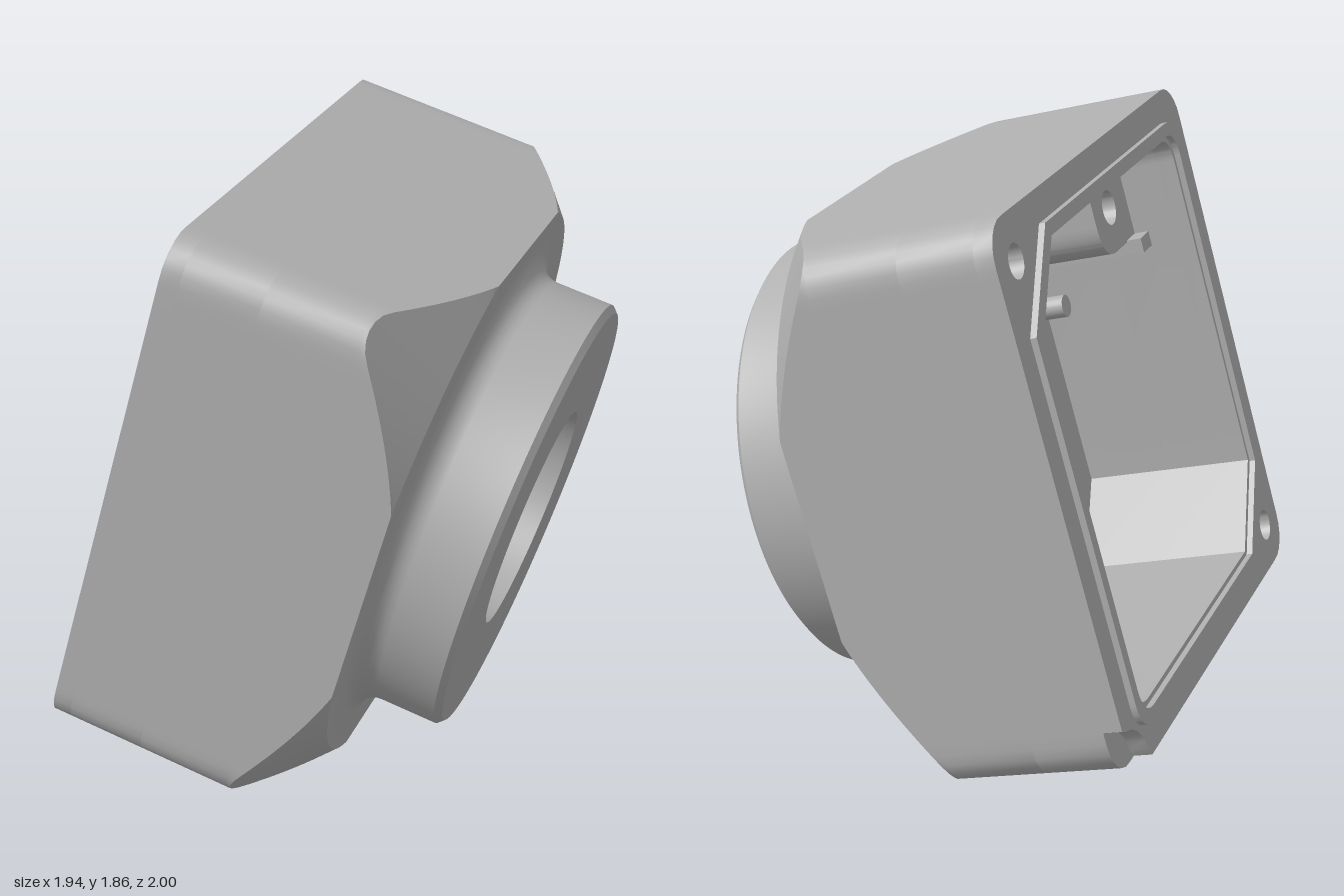
import * as THREE from 'three';
import { toCreasedNormals } from 'three/addons/utils/BufferGeometryUtils.js';

const HALF = 0.85, CORNER = 0.115, BACK = -0.4, BORE = 0.357;
const SEGMENTS = 240;

// Polar radius of the rounded-square housing outline
function outlineRadius(t) {
  const c = Math.abs(Math.cos(t)), s = Math.abs(Math.sin(t));
  const k = HALF - CORNER, flat = HALF / Math.max(c, s);
  if (flat * Math.min(c, s) <= k) return flat;
  const d = k * (c + s);
  return d + Math.sqrt(d * d - 2 * k * k + CORNER * CORNER);
}

// Same outline with a round bite out of the lower corner
function notchedRadius(t) {
  const r = outlineRadius(t), bite = 0.15;
  const d = HALF * (Math.cos(t) - Math.sin(t));
  const q = d * d - 2 * HALF * HALF + bite * bite;
  return q > 0 && d > 0 ? Math.min(r, d - Math.sqrt(q)) : r;
}

function polarShape(radius) {
  const pts = [];
  for (let i = 0; i < SEGMENTS; i++) {
    const t = (i / SEGMENTS) * Math.PI * 2;
    pts.push(new THREE.Vector2(radius(t) * Math.cos(t), radius(t) * Math.sin(t)));
  }
  return new THREE.Shape(pts);
}

// Square with two opposite corners cut and the other two rounded
function cavityShape(a, cut, r, Type = THREE.Shape) {
  const p = new Type();
  p.moveTo(a, -a + r);
  p.lineTo(a, a - cut);
  p.lineTo(a - cut, a);
  p.lineTo(-a + r, a);
  p.quadraticCurveTo(-a, a, -a, a - r);
  p.lineTo(-a, -a + cut);
  p.lineTo(-a + cut, -a);
  p.lineTo(a - r, -a);
  p.quadraticCurveTo(a, -a, a, -a + r);
  return p;
}

function circlePath(x, y, r) {
  return new THREE.Path().absarc(x, y, r, 0, Math.PI * 2, true);
}

function octagonPath(a, b) {
  return new THREE.Path([[a, b], [b, a], [-b, a], [-a, b], [-a, -b], [-b, -a], [b, -a], [a, -b]]
    .map(([x, y]) => new THREE.Vector2(x, y)));
}

// Flat layer between two depths
function layer(shape, holes, z0, z1) {
  shape.holes.push(...holes);
  const g = new THREE.ExtrudeGeometry(shape, { depth: z1 - z0, bevelEnabled: false, curveSegments: 20 });
  g.translate(0, 0, z0);
  return toCreasedNormals(g, 0.5);
}

// Front shell: square walls cut by a cone, then fillet, round flange and bore
function frontShell(z0) {
  const face = 0.42, coneR = 0.91, flangeR = 0.707, fillet = 0.075, front = 0.7;
  const profile = (t) => {
    const r = outlineRadius(t);
    const rows = [
      [r, z0],
      [r, Math.min(face, face - (r - coneR) * 0.9)],
      [Math.min(r, coneR) - 0.001, face],
    ];
    for (let i = 0; i <= 6; i++) {
      const a = (i / 6) * Math.PI / 2;
      rows.push([flangeR + fillet * (1 - Math.sin(a)), face + fillet * (1 - Math.cos(a))]);
    }
    rows.push([flangeR, front - 0.02], [flangeR - 0.02, front], [BORE, front], [BORE, 0.28]);
    return rows;
  };
  const pos = [], index = [];
  let rows = 0;
  for (let i = 0; i <= SEGMENTS; i++) {
    const t = (i / SEGMENTS) * Math.PI * 2, p = profile(t);
    rows = p.length;
    for (const [r, z] of p) pos.push(r * Math.cos(t), r * Math.sin(t), z);
  }
  for (let i = 0; i < SEGMENTS; i++) {
    for (let j = 0; j < rows - 1; j++) {
      const a = i * rows + j, b = a + rows;
      index.push(a, b, b + 1, a, b + 1, a + 1);
    }
  }
  const g = new THREE.BufferGeometry();
  g.setAttribute('position', new THREE.Float32BufferAttribute(pos, 3));
  g.setIndex(index);
  return toCreasedNormals(g, 0.5);
}

export function createModel() {
  const grey = new THREE.MeshStandardMaterial({ color: 0xb0b0b0 });
  grey.name = 'castGrey';
  const housing = new THREE.Group();
  housing.name = 'housing';
  const add = (name, geometry) => {
    const m = new THREE.Mesh(geometry, grey);
    m.name = name;
    housing.add(m);
    return m;
  };

  const cavity = () => cavityShape(0.7, 0.24, 0.09, THREE.Path);
  const screwHoles = () => [circlePath(0.71, 0.71, 0.052), circlePath(-0.71, -0.71, 0.052)];
  const ledge = 0.19, floor = 0.28;

  // Walls around the cavity, with blind screw holes in two corners
  add('backRim', layer(polarShape(notchedRadius), [cavity(), ...screwHoles()], BACK, -0.34));
  add('rearWalls', layer(polarShape(outlineRadius), [cavity(), ...screwHoles()], -0.34, -0.1));
  add('frontWalls', layer(polarShape(outlineRadius), [cavity()], -0.1, ledge));
  add('frontShell', frontShell(ledge));

  // Raised sealing lip on the back
  add('sealLip', layer(cavityShape(0.755, 0.26, 0.11),
    [cavityShape(0.715, 0.245, 0.095, THREE.Path)], BACK - 0.02, BACK));

  // Stepped cavity floor
  add('cavityLedge', layer(cavityShape(0.72, 0.245, 0.1),
    [octagonPath(0.5, 0.25), circlePath(0.46, 0.46, 0.05), circlePath(-0.46, -0.46, 0.05)], ledge, floor));
  add('cavityFloor', layer(cavityShape(0.72, 0.245, 0.1), [circlePath(0, 0, BORE)], floor, floor + 0.02));

  // Screw posts and small ribs in the two rounded corners
  for (const side of [1, -1]) {
    const lo = 0.39, hi = 0.705, r = 0.12;
    const post = new THREE.Shape();
    post.moveTo(lo + r, -lo);
    post.quadraticCurveTo(lo, -lo, lo, -lo - r);
    post.lineTo(lo, -hi);
    post.lineTo(hi - 0.09, -hi);
    post.quadraticCurveTo(hi, -hi, hi, -hi + 0.09);
    post.lineTo(hi, -lo);
    const mesh = add('screwPost', layer(post, [circlePath(0.535, -0.535, 0.058)], -0.2, ledge));
    mesh.rotation.z = side > 0 ? 0 : Math.PI;
    const rib = add('cornerRib', new THREE.BoxGeometry(0.09, 0.05, 0.44));
    rib.position.set(side * 0.66, side * -0.37, -0.03);
  }

  // Locating pin
  const pin = add('locatingPin', new THREE.CylinderGeometry(0.038, 0.038, 0.14, 24));
  pin.rotation.x = Math.PI / 2;
  pin.position.set(-0.56, 0.22, 0.12);

  // Tilted pose
  housing.rotation.set(0.272, 0.963, 0, 'YXZ');
  housing.position.set(-0.014, 0.93, 0.02);
  const model = new THREE.Group();
  model.name = 'flangedHousing';
  model.add(housing);
  return model;
}
